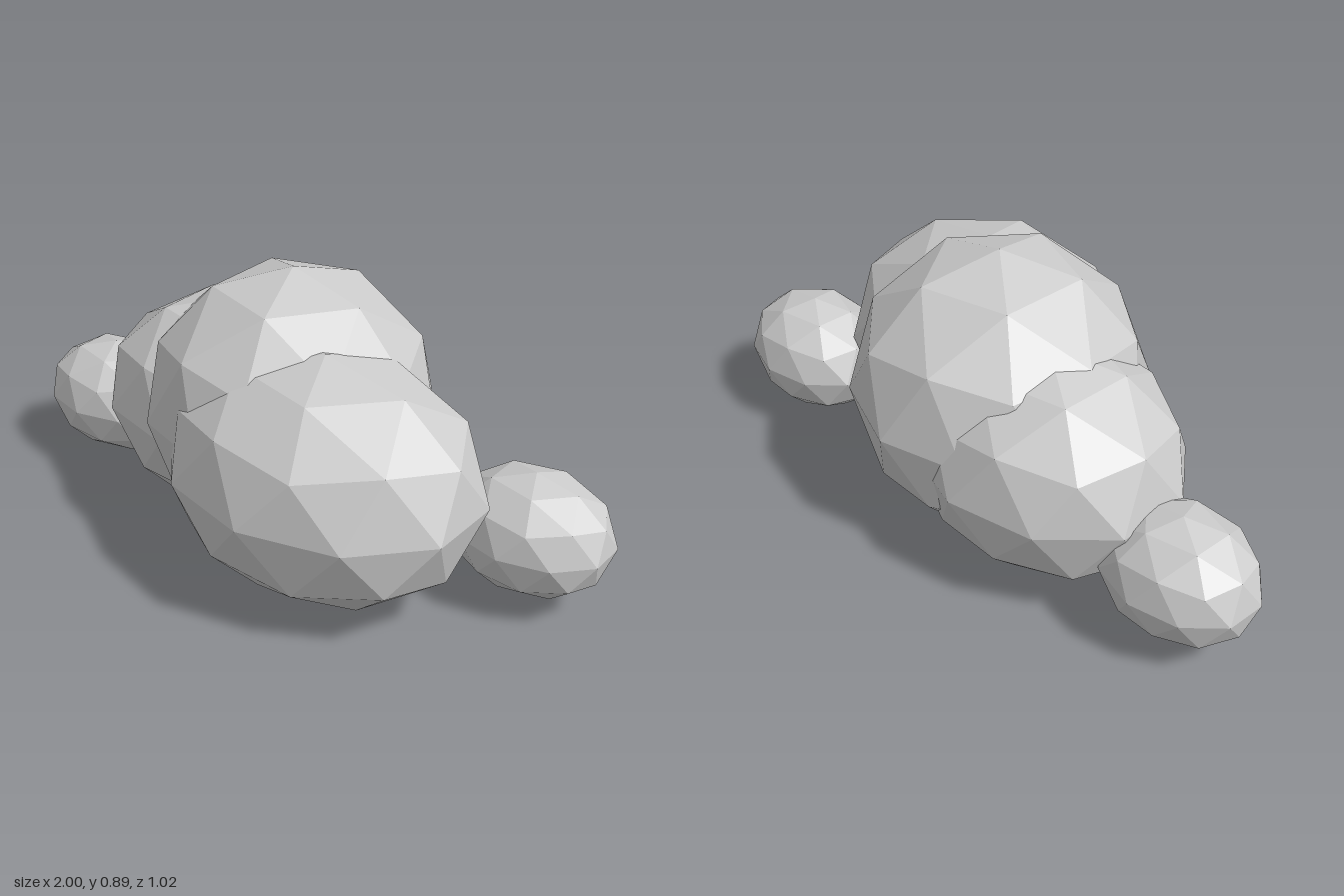
import * as THREE from 'three';

export function createModel() {
  const cloud = new THREE.Group();
  cloud.name = 'cloud';
  const cloudGrey = new THREE.MeshStandardMaterial({ color: 0xcccccc, flatShading: true });
  cloudGrey.name = 'cloud grey';

  // Low-poly ball turned so that one corner points straight up
  const ball = new THREE.IcosahedronGeometry(1, 1);
  ball.rotateZ(-Math.atan(2 / (1 + Math.sqrt(5))));

  // Each puff: name, centre, radii
  const puffs = [
    ['middlePuff', [0, 0.446, -0.065], [0.446, 0.446, 0.444]],
    ['frontLeftPuff', [0.251, 0.383, 0.113], [0.5, 0.373, 0.397]],
    ['rightPuff', [-0.251, 0.366, -0.108], [0.45, 0.35, 0.366]],
    ['smallLeftPuff', [0.759, 0.234, -0.202], [0.253, 0.189, 0.2]],
    ['smallRightPuff', [-0.759, 0.234, -0.085], [0.253, 0.189, 0.2]],
  ];
  for (const [name, centre, radii] of puffs) {
    const puff = new THREE.Mesh(ball.clone().scale(...radii), cloudGrey);
    puff.name = name;
    puff.position.set(...centre);
    cloud.add(puff);
  }
  return cloud;
}
